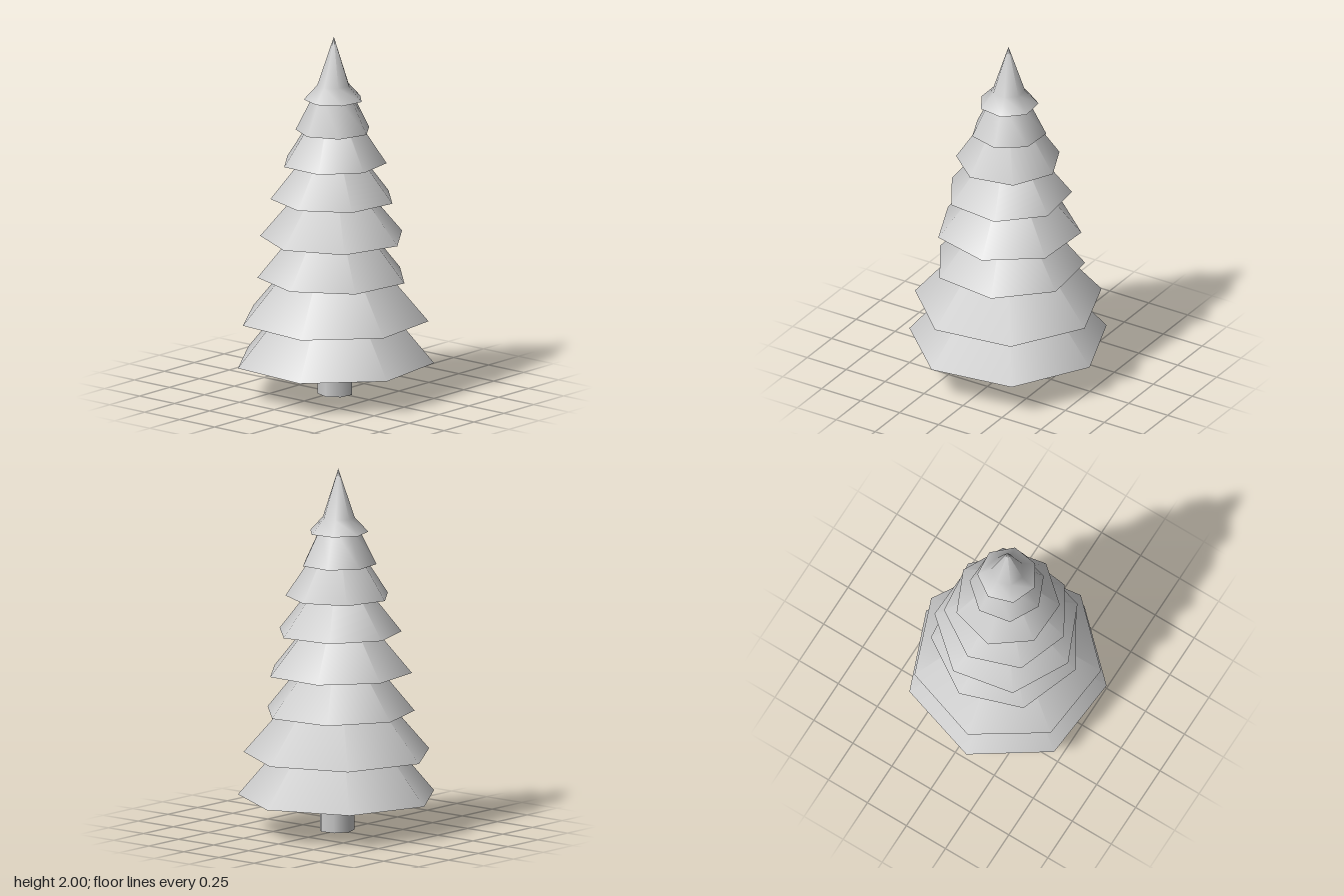
import * as THREE from 'three';

// One skirt of branches per row: rim height, rim radius, angle of one rim corner
// (degrees from +x towards +z), top radius and top height
const TIERS = [
  [0.185, 0.55, 4.7, 0.01, 0.825],
  [0.42, 0.52, 5.3, 0.01, 1.01],
  [0.655, 0.415, 174.2, 0.01, 1.15],
  [0.875, 0.4, 182.3, 0.01, 1.34],
  [1.095, 0.344, 173.9, 0.01, 1.52],
  [1.295, 0.289, 1.9, 0.02, 1.70],
  [1.475, 0.207, 182.5, 0.1, 1.69],
];
const SIDES = 7;

export function createModel() {
  const tree = new THREE.Group();
  tree.name = 'pineTree';
  const material = new THREE.MeshStandardMaterial({ color: 0xcccccc, side: THREE.DoubleSide });

  function addPart(name, geometry, angle, x, y, z) {
    const mesh = new THREE.Mesh(geometry, material);
    mesh.name = name;
    mesh.position.set(x, y, z);
    mesh.rotation.y = THREE.MathUtils.degToRad(90 - angle);
    tree.add(mesh);
  }

  const lathe = (points) =>
    new THREE.LatheGeometry(points.map(([r, y]) => new THREE.Vector2(r, y)), SIDES);

  // Trunk, closed at the foot
  addPart('trunk', new THREE.CylinderGeometry(0.0975, 0.0975, 0.62, SIDES), 225, -0.008, 0.31, 0.017);

  // Overlapping branch skirts, open below
  TIERS.forEach(([rimY, rimR, angle, topR, topY], i) => {
    addPart(`branchTier${i + 1}`, lathe([[rimR, rimY], [topR, topY]]), angle, -0.015, 0, 0.009);
  });

  // Flared tip
  addPart('treeTip', lathe([[0.164, 1.65], [0.09, 1.73], [0, 2]]), 175.2, -0.015, 0, 0.011);

  return tree;
}
